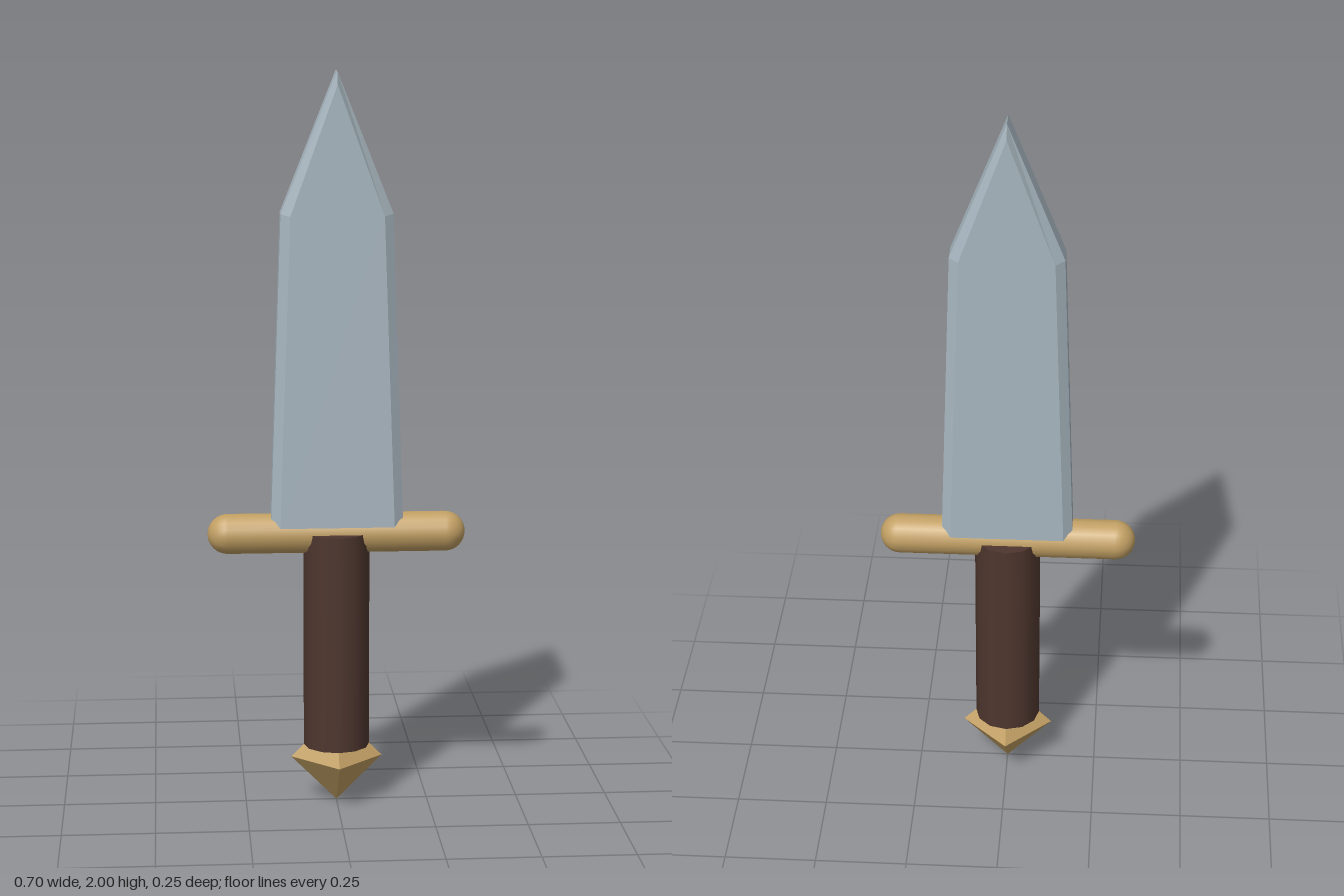
import * as THREE from 'three';

const steel = new THREE.MeshStandardMaterial({ color: 0xa9b7c0, flatShading: true });
const brass = new THREE.MeshStandardMaterial({ color: 0xc2a064 });
const brassFacets = new THREE.MeshStandardMaterial({ color: 0xc2a064, flatShading: true });
const wood = new THREE.MeshStandardMaterial({ color: 0x4e362e });

export function createModel() {
  const group = new THREE.Group();
  group.name = 'dagger';

  const add = (name, geometry, material, y = 0) => {
    const mesh = new THREE.Mesh(geometry, material);
    mesh.name = name;
    mesh.position.y = y;
    group.add(mesh);
    return mesh;
  };

  // Blade: tapered outline with one chamfer all round; its base sits in the guard
  const outline = new THREE.Shape([
    [-0.155, 0.765], [0.155, 0.765], [0.125, 1.62], [0, 1.965], [-0.125, 1.62],
  ].map(([x, y]) => new THREE.Vector2(x, y)));
  const blade = new THREE.ExtrudeGeometry(outline, {
    depth: 0.06, bevelEnabled: true, bevelThickness: 0.02, bevelSize: 0.025, bevelSegments: 1,
  });
  blade.translate(0, 0, -0.03);
  add('blade', blade, steel);

  // Crossguard: horizontal rod with round ends
  const guard = new THREE.CapsuleGeometry(0.055, 0.59, 8, 16);
  guard.rotateZ(Math.PI / 2);
  add('guard', guard, brass, 0.757);

  // Grip
  add('grip', new THREE.CylinderGeometry(0.09, 0.09, 0.6, 12), wood, 0.46);

  // Pommel: eight-faced gem shape, its upper half set into the grip
  add('pommel', new THREE.OctahedronGeometry(0.125), brassFacets, 0.125);

  return group;
}
